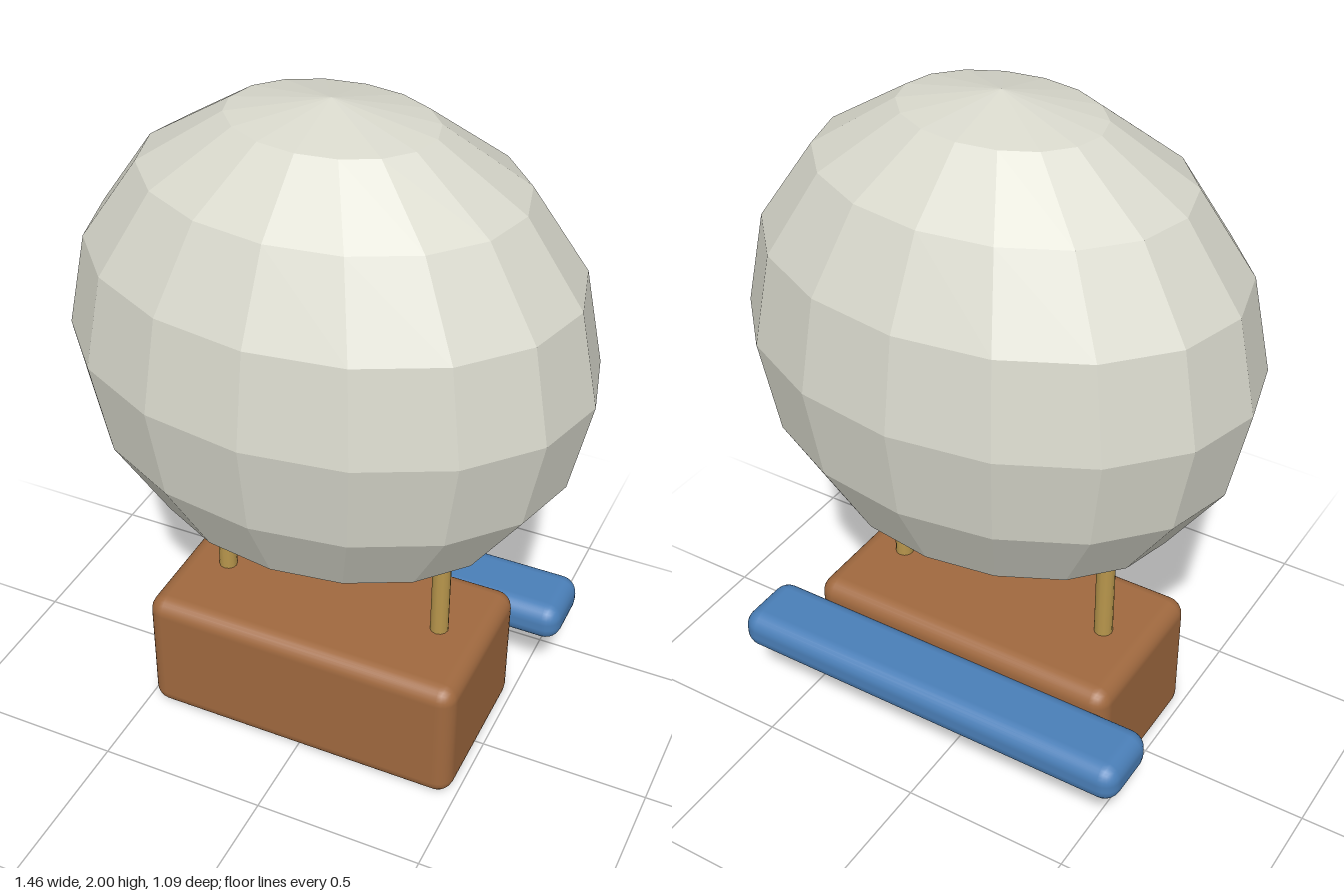
import * as THREE from 'three';
import { RoundedBoxGeometry } from 'three/addons/geometries/RoundedBoxGeometry.js';

export function createModel() {
  const model = new THREE.Group();
  model.name = 'airship';

  function add(name, geometry, color, x, y, z, flatShading = false) {
    const material = new THREE.MeshStandardMaterial({ color, flatShading });
    const mesh = new THREE.Mesh(geometry, material);
    mesh.name = name;
    mesh.position.set(x, y, z);
    model.add(mesh);
    return mesh;
  }

  // Faceted gas bag, narrower front to back
  const envelope = add('envelope', new THREE.SphereGeometry(1, 16, 8), 0xd8d8cc, 0, 1.3, 0, true);
  envelope.scale.set(0.73, 0.7, 0.545);

  // Rounded gondola
  add('gondola', new RoundedBoxGeometry(0.97, 0.405, 0.51, 3, 0.05), 0xa0693f, 0, 0.205, 0);

  // Posts joining the gondola to the envelope
  for (const side of [1, -1]) {
    add(side > 0 ? 'leftPost' : 'rightPost',
      new THREE.CylinderGeometry(0.027, 0.027, 0.45, 12), 0xb8964c, side * 0.342, 0.575, 0);
  }

  // Tail bar across the back of the gondola
  add('tailBar', new RoundedBoxGeometry(1.245, 0.12, 0.215, 3, 0.05), 0x4a7fb8, 0, 0.3, -0.345);

  return model;
}
